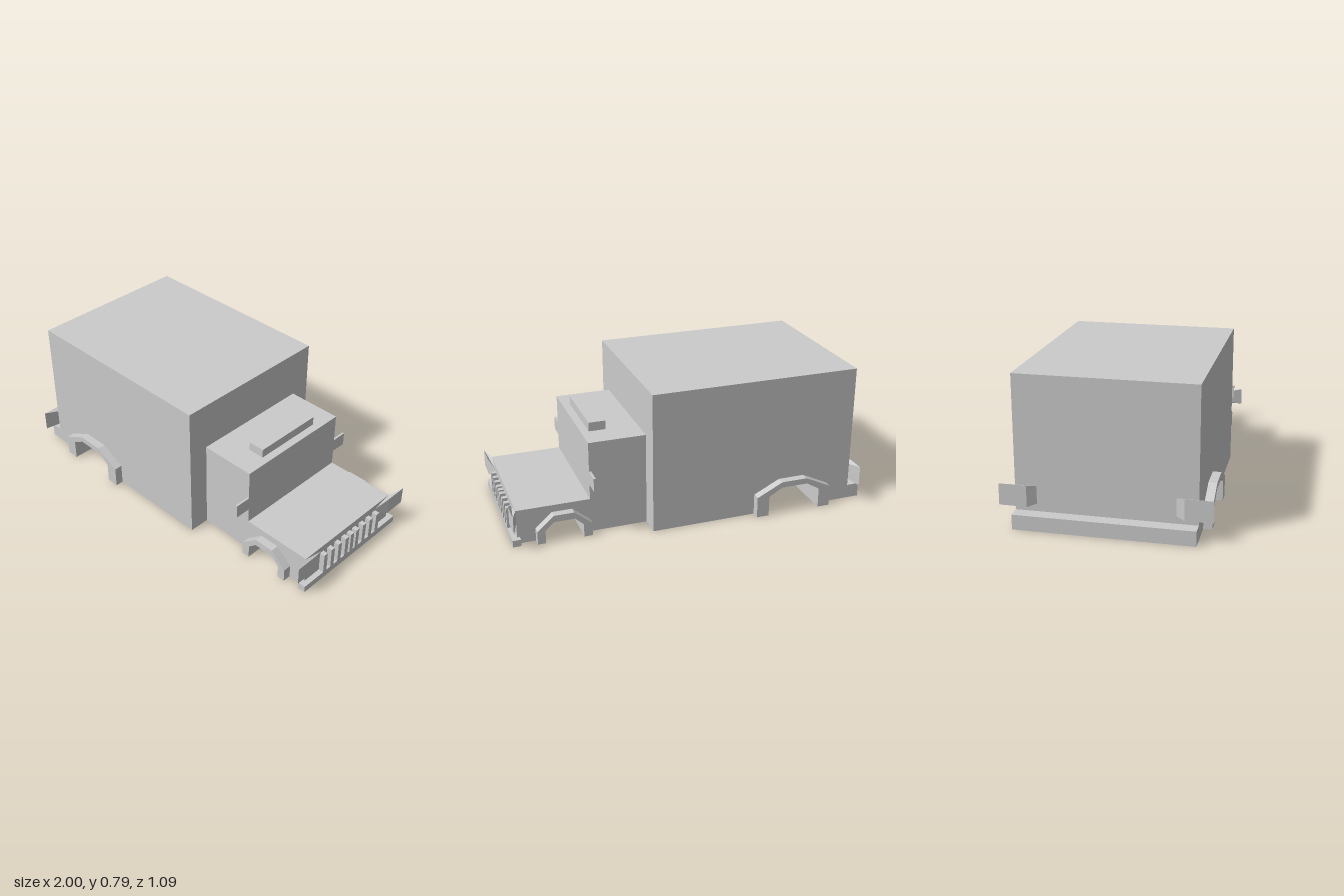
import * as THREE from 'three';

const mat = new THREE.MeshStandardMaterial({ color: 0xcccccc, flatShading: true });

export function createModel() {
  const model = new THREE.Group();
  const add = (name, geo) => {
    const mesh = new THREE.Mesh(geo, mat);
    mesh.name = name;
    model.add(mesh);
    return mesh;
  };
  // box from its min and max corners
  const box = (name, x0, x1, y0, y1, z0, z1) =>
    add(name, new THREE.BoxGeometry(x1 - x0, y1 - y0, z1 - z0)
      .translate((x0 + x1) / 2, (y0 + y1) / 2, (z0 + z1) / 2));
  // side profile (x, y) extruded between two z values
  const slab = (name, pts, z0, z1) =>
    add(name, new THREE.ExtrudeGeometry(
      new THREE.Shape(pts.map(p => new THREE.Vector2(...p))),
      { depth: z1 - z0, bevelEnabled: false }).translate(0, 0, z0));
  // block between two quads of [x, y, z], flipped for the mirrored side
  const block = (name, a, b, side) => {
    const p = [...a, ...b].map(([x, y, z]) => [x, y, z * side]);
    const mid = [0, 1, 2].map(k => p.reduce((s, q) => s + q[k], 0) / 8);
    const centre = new THREE.Vector3(...mid);
    const out = [];
    const faces = [[0, 1, 2, 3], [4, 5, 6, 7]];
    for (let i = 0; i < 4; i++) faces.push([i, (i + 1) % 4, (i + 1) % 4 + 4, i + 4]);
    for (const f of faces) for (const t of [[0, 1, 2], [0, 2, 3]]) {
      const v = t.map(i => new THREE.Vector3(...p[f[i]]));
      const n = v[1].clone().sub(v[0]).cross(v[2].clone().sub(v[0]));
      if (n.dot(v[0].clone().sub(centre)) < 0) v.reverse();
      v.forEach(q => out.push(q.x, q.y, q.z));
    }
    const geo = new THREE.BufferGeometry();
    geo.setAttribute('position', new THREE.Float32BufferAttribute(out, 3));
    geo.computeVertexNormals();
    add(name, geo);
  };

  // wheel arches: outer and inner outlines, left to right along x
  const rearOuter = [[-0.79, 0], [-0.79, 0.12], [-0.64, 0.193], [-0.49, 0.193], [-0.343, 0.12], [-0.343, 0]];
  const rearInner = [[-0.72, 0], [-0.72, 0.115], [-0.644, 0.16], [-0.49, 0.16], [-0.414, 0.115], [-0.414, 0]];
  const frontOuter = [[0.57, 0], [0.57, 0.075], [0.666, 0.155], [0.778, 0.155], [0.87, 0.075], [0.87, 0]];
  const frontInner = [[0.617, 0], [0.617, 0.075], [0.664, 0.118], [0.778, 0.118], [0.826, 0.075], [0.826, 0]];
  // rectangular body side with a wheel well cut from below
  const notched = (x0, x1, top, arch) => [[x0, 0], ...arch, [x1, 0], [x1, top], [x0, top]];

  // bodies: solid core, with notched sides around the wells
  box('cargoCore', -0.93, 0.25, 0, 0.793, -0.2, 0.2);
  box('cab', 0.25, 0.567, 0, 0.523, -0.35, 0.35);
  box('hoodCore', 0.567, 0.97, 0, 0.195, -0.17, 0.17);
  for (const s of [-1, 1]) {
    const span = (a, b) => (s > 0 ? [a, b] : [-b, -a]);
    slab('cargoSide', notched(-0.93, 0.25, 0.793, rearInner), ...span(0.2, 0.467));
    slab('hoodSide', notched(0.567, 0.97, 0.195, frontInner), ...span(0.17, 0.35));
    slab('rearFender', [...rearOuter, ...[...rearInner].reverse()], ...span(0.467, 0.513));
    slab('frontFender', [...frontOuter, ...[...frontInner].reverse()], ...span(0.35, 0.396));
    box('mirror', 0.555, 0.567, 0.28, 0.357, ...span(0.35, 0.441));

    // lights widen away from the body
    block('rearLight',
      [[-0.957, 0.11, 0.545], [-0.957, 0.224, 0.545], [-0.957, 0.224, 0.4], [-0.957, 0.11, 0.4]],
      [[-0.93, 0.12, 0.467], [-0.93, 0.214, 0.467], [-0.93, 0.214, 0.355], [-0.93, 0.12, 0.355]], s);
    block('headlight',
      [[1, 0.106, 0.44], [1, 0.206, 0.44], [1, 0.206, 0.31], [1, 0.106, 0.31]],
      [[0.97, 0.12, 0.35], [0.97, 0.193, 0.35], [0.97, 0.166, 0.23], [0.97, 0.146, 0.23]], s);
  }

  // roof box, rear step, bumper
  box('roofSign', 0.43, 0.523, 0.523, 0.573, -0.204, 0.204);
  box('rearStep', -1, -0.93, 0, 0.08, -0.467, 0.467);
  box('frontBumper', 0.955, 1, 0, 0.038, -0.381, 0.381);

  // grille bars
  for (let i = -4; i <= 4; i++) {
    const z = i === 0 ? 0 : Math.sign(i) * (0.045 + (Math.abs(i) - 1) * 0.0583);
    box('grilleBar', 0.97, 1, 0.038, 0.157, z - 0.0135, z + 0.0135);
  }
  return model;
}
